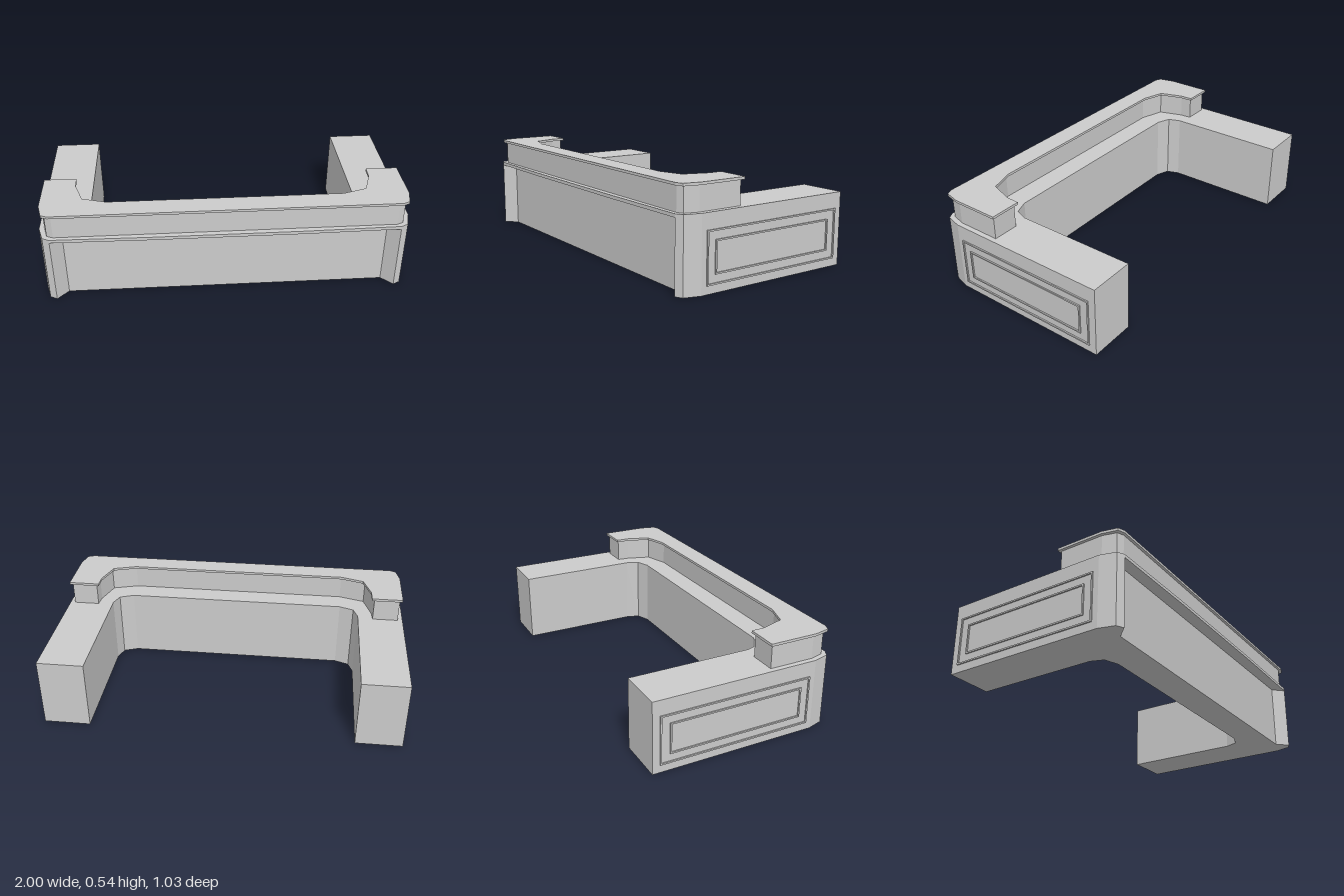
import * as THREE from 'three';

const material = new THREE.MeshStandardMaterial({ color: 0xcccccc, flatShading: true });

// Extrudes a mirrored plan between two heights; half lists [x, z] of the +x side
function slab(name, half, y0, y1) {
  const mirrored = half.map(([x, z]) => [-x, z]).reverse();
  const shape = new THREE.Shape([...half, ...mirrored].map(([x, z]) => new THREE.Vector2(x, -z)));
  const geometry = new THREE.ExtrudeGeometry(shape, { depth: y1 - y0, bevelEnabled: false });
  geometry.rotateX(-Math.PI / 2);
  const mesh = new THREE.Mesh(geometry, material);
  mesh.position.y = y0;
  mesh.name = name;
  return mesh;
}

// Thin rectangular moulding on a side wall
function sideFrame(name, side, z0, z1, y0, y1) {
  const w = 0.008, t = 0.007;
  const rect = (Type, i) => new Type([
    new THREE.Vector2(z0 + i, y0 + i), new THREE.Vector2(z1 - i, y0 + i),
    new THREE.Vector2(z1 - i, y1 - i), new THREE.Vector2(z0 + i, y1 - i)]);
  const shape = rect(THREE.Shape, 0);
  shape.holes.push(rect(THREE.Path, w));
  const geometry = new THREE.ExtrudeGeometry(shape, { depth: t, bevelEnabled: false });
  geometry.rotateY(-Math.PI / 2); // shape x becomes z, depth becomes -x
  const mesh = new THREE.Mesh(geometry, material);
  mesh.position.x = side > 0 ? 1 : -1 + t;
  mesh.name = name;
  return mesh;
}

export function createModel() {
  const group = new THREE.Group();
  group.name = 'receptionCounter';

  // Plan outlines, listed from the inner edge round to the front
  const inner = [[0.63, 0.27], [0.71, 0.24], [0.735, 0.17], [0.735, -0.515]];
  const outer = [[0.993, -0.515], [0.993, 0.4], [0.968, 0.487]];

  // Lower desk with a recessed front between splayed corner posts
  group.add(slab('deskBody', [...inner, ...outer, [0.93, 0.507], [0.87, 0.445]], 0, 0.375));
  // Work surface overhanging the recessed front, slightly bowed
  group.add(slab('workSurface', [...inner, ...outer, [0.93, 0.507], [0.4, 0.515]], 0.375, 0.393));

  // Raised counter wall
  group.add(slab('counterWall', [[0.63, 0.393], [0.772, 0.35], [0.815, 0.213], [0.82, 0.148],
    [0.965, 0.148], [0.965, 0.395], [0.945, 0.47], [0.91, 0.485]], 0.393, 0.521));
  // Counter top with a small overhang all round
  group.add(slab('counterTop', [[0.63, 0.38], [0.76, 0.34], [0.803, 0.21], [0.805, 0.135],
    [0.98, 0.135], [0.98, 0.4], [0.96, 0.485], [0.925, 0.5]], 0.521, 0.535));

  // Double mouldings on the side walls
  for (const side of [1, -1]) {
    const label = side > 0 ? 'left' : 'right';
    group.add(sideFrame(label + 'OuterMoulding', side, -0.475, 0.37, 0.043, 0.31));
    group.add(sideFrame(label + 'InnerMoulding', side, -0.422, 0.32, 0.092, 0.26));
  }
  return group;
}
